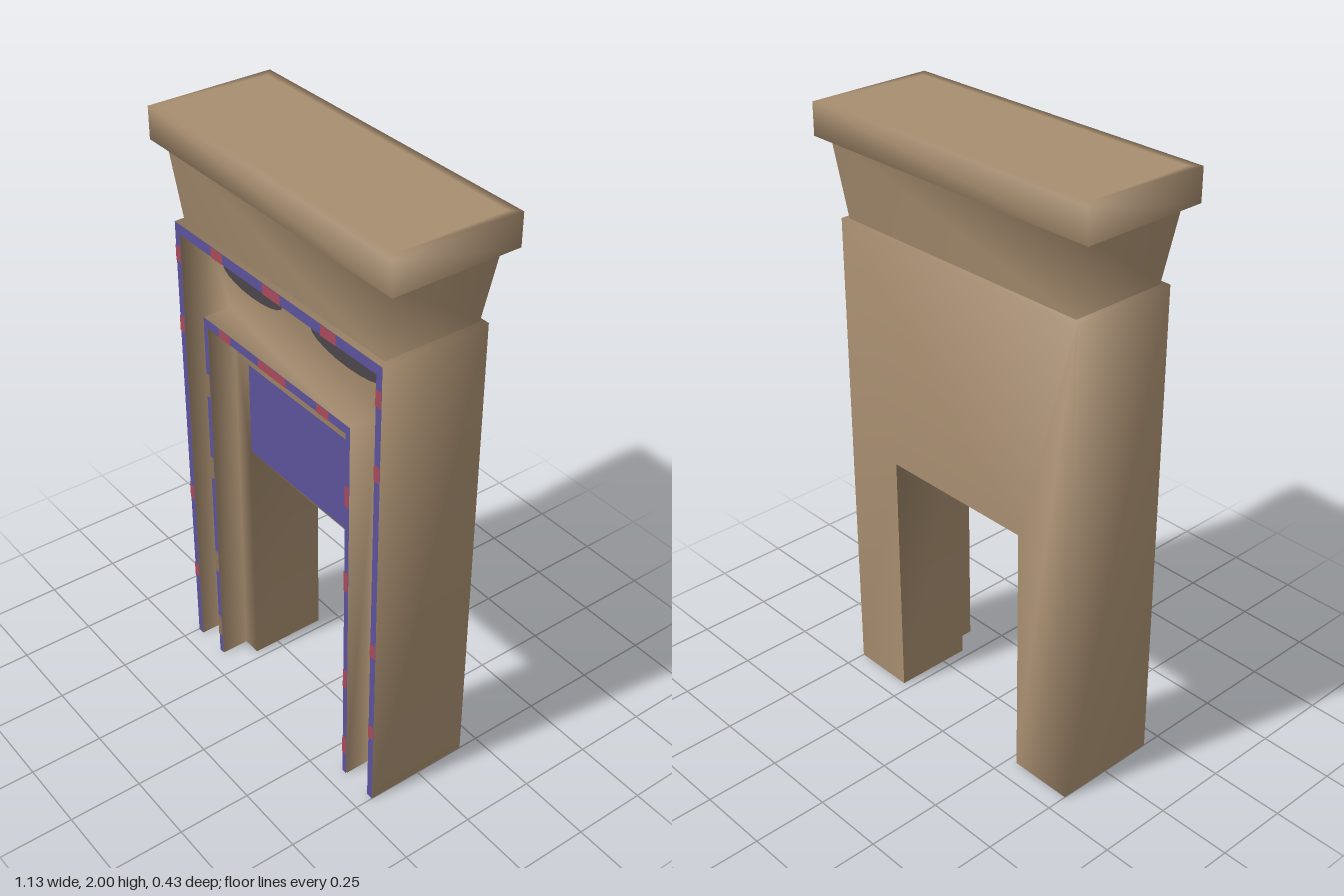
import * as THREE from 'three';

const mat = (name, color, side = THREE.FrontSide) => {
  const m = new THREE.MeshStandardMaterial({ color, side });
  m.name = name;
  return m;
};

// Smooth surface through rows of points; rows[i] x along-row gives the outside
function surface(rows, closed) {
  const n = rows[0].length, index = [];
  for (let i = 0; i < rows.length - 1; i++) {
    for (let j = 0; j < (closed ? n : n - 1); j++) {
      const k = (j + 1) % n;
      const a = i * n + j, b = a + n, c = (i + 1) * n + k, d = i * n + k;
      index.push(a, b, c, a, c, d);
    }
  }
  const g = new THREE.BufferGeometry();
  g.setAttribute('position', new THREE.Float32BufferAttribute(rows.flat(2), 3));
  g.setIndex(index);
  g.computeVertexNormals();
  return g;
}

export function createModel() {
  const root = new THREE.Group();
  root.name = 'doorway';
  const stone = mat('stone', 0xa88e70, THREE.DoubleSide);
  const blue = mat('bluePaint', 0x5c5299);
  const red = mat('redPaint', 0xa84a58);
  const ochre = mat('ochrePaint', 0x8c7254);
  const grey = mat('greyPaint', 0x4a464a);

  const add = (name, geometry, material, x = 0, y = 0, z = 0) => {
    const m = new THREE.Mesh(geometry, material);
    m.name = name;
    m.position.set(x, y, z);
    root.add(m);
    return m;
  };

  // Stepped portal: each profile point is [half width, top height, z]
  const F = 0.185, R = 0.09, B = -0.18;
  const profile = [
    [0.28, 0.875, B], [0.5, 1.645, B], [0.5, 1.645, F], [0.475, 1.61, F],
    [0.475, 1.61, R], [0.365, 1.375, R], [0.365, 1.375, F], [0.345, 1.345, F],
    [0.345, 1.345, R], [0.28, 0.875, R], [0.28, 0.875, B],
  ];
  const arch = ([w, t, z]) => [[-w, 0, z], [-w, t, z], [w, t, z], [w, 0, z]];
  add('portal', surface(profile.map(arch), false), stone);

  // Undersides of the two legs
  for (const s of [-1, 1]) {
    const foot = new THREE.Shape(profile.slice(0, -1).map(([w, , z]) => new THREE.Vector2(s * w, z)));
    add(s > 0 ? 'leftFoot' : 'rightFoot', new THREE.ShapeGeometry(foot).rotateX(Math.PI / 2), stone);
  }

  // Flared neck and flat cornice: [half width, half depth, y]
  const rect = ([w, d, y]) => [[-w, y, d], [-w, y, -d], [w, y, -d], [w, y, d]];
  const crown = [
    [0.48, 0.165, 1.645], [0.53, 0.182, 1.895], [0.565, 0.216, 1.895],
    [0.565, 0.216, 2], [0.535, 0.186, 2], [0.35, 0, 2],
  ];
  add('cornice', surface(crown.map(rect), true), stone);

  // Painted trims on the front edges of both frames
  const trim = (name, w, t, wi, ti) => {
    const s = new THREE.Shape([[-w, 0], [-w, t], [w, t], [w, 0], [wi, 0], [wi, ti], [-wi, ti], [-wi, 0]]
      .map(([x, y]) => new THREE.Vector2(x, y)));
    add(name, new THREE.ShapeGeometry(s), blue, 0, 0, F + 0.003);
  };
  trim('outerTrim', 0.5, 1.645, 0.475, 1.61);
  trim('innerTrim', 0.365, 1.375, 0.345, 1.345);

  // Coloured dashes along the trims
  const dash = (x, y, w, h, m) => add('trimDash', new THREE.PlaneGeometry(w, h), m, x, y, F + 0.005);
  for (const [x, w] of [[-0.275, 0.06], [0, 0.085], [0.265, 0.07]]) dash(x, 1.6275, w, 0.035, red);
  for (const [x, w] of [[-0.25, 0.06], [-0.005, 0.14], [0.24, 0.06]]) dash(x, 1.36, w, 0.03, red);
  for (const y of [1.54, 1.29, 0.63, 0.29]) {
    for (const s of [-1, 1]) dash(s * 0.4875, y, 0.025, 0.055, red);
  }
  for (const y of [1.13, 0.81, 0.415, 0.125]) {
    dash(0.355, y, 0.02, 0.075, red);
    dash(-0.355, y, 0.02, 0.085, ochre);
  }

  // Painted panel over the opening
  add('panel', new THREE.PlaneGeometry(0.535, 0.33), blue, 0, 1.05, R + 0.004);

  // Worn oval patches on the two recessed lintels
  const patches = [
    [-0.235, 1.515, 0.155, 0.045], [0.23, 1.515, 0.175, 0.048],
    [-0.14, 1.285, 0.09, 0.032], [0.13, 1.288, 0.09, 0.035],
  ];
  for (const [x, y, rx, ry] of patches) {
    add('lintelPatch', new THREE.CircleGeometry(1, 20).scale(rx, ry, 1), grey, x, y, R + 0.004);
  }
  return root;
}
